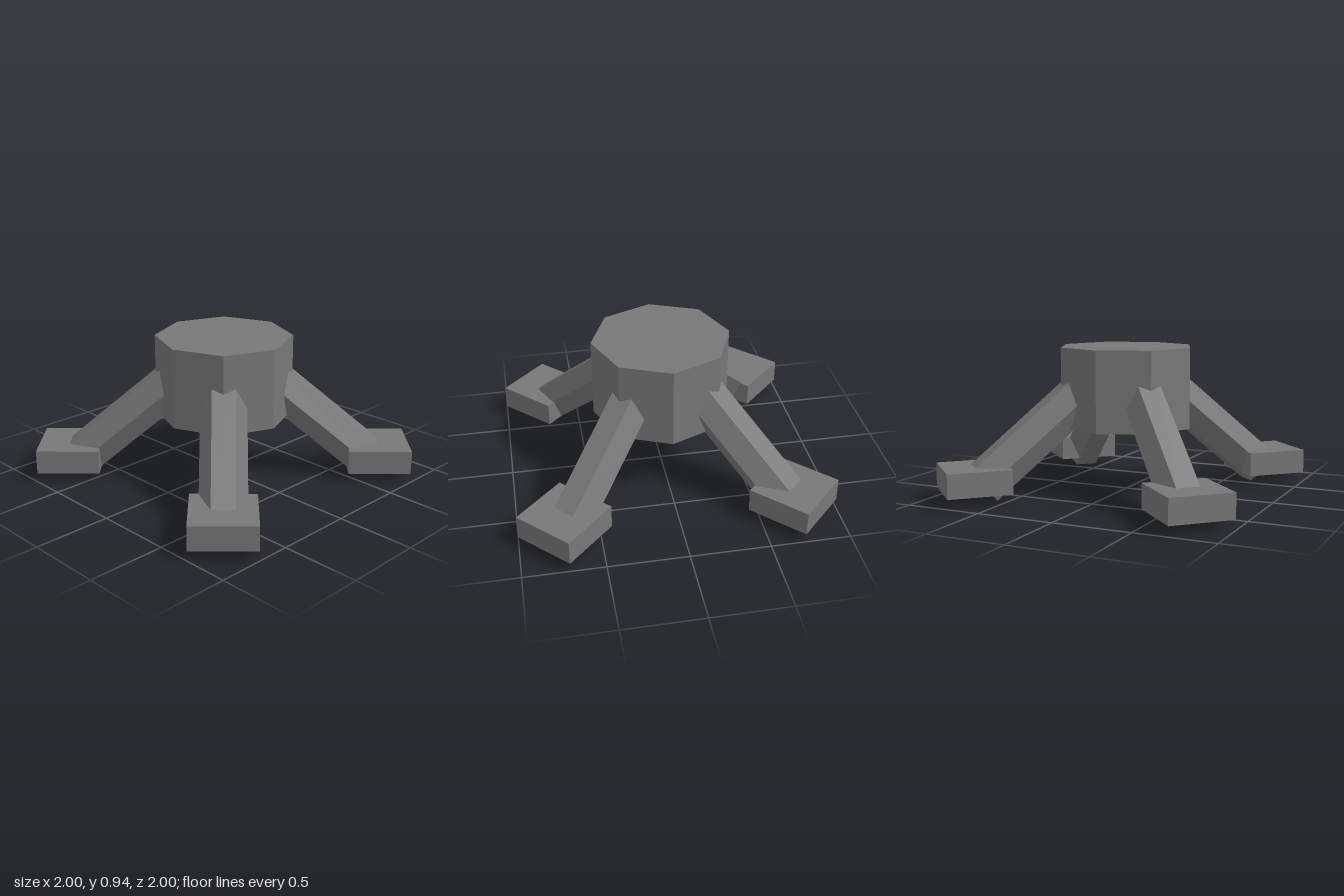
import * as THREE from 'three';

export function createModel() {
  const model = new THREE.Group();
  model.name = 'fourLeggedStand';
  const grey = new THREE.MeshStandardMaterial({ color: 0x787878, flatShading: true });
  grey.name = 'grey';

  const add = (parent, name, geometry, x, y) => {
    const mesh = new THREE.Mesh(geometry, grey);
    mesh.name = name;
    mesh.position.set(x, y, 0);
    parent.add(mesh);
    return mesh;
  };

  // Octagonal body
  add(model, 'body', new THREE.CylinderGeometry(0.442, 0.442, 0.515, 8), 0, 0.682);

  // Hexagonal strut leaning outwards, its lower end poking through the foot
  const tilt = THREE.MathUtils.degToRad(50);
  const length = 0.86;
  const endX = 0.961, endY = 0.096;
  const strutGeometry = new THREE.CylinderGeometry(0.145, 0.145, length, 6);
  const footGeometry = new THREE.BoxGeometry(0.403, 0.155, 0.403);

  // Four legs on the diagonals
  const names = ['backLeftLeg', 'backRightLeg', 'frontRightLeg', 'frontLeftLeg'];
  names.forEach((name, i) => {
    const leg = new THREE.Group();
    leg.name = name;
    leg.rotation.y = Math.PI / 4 + i * Math.PI / 2;
    const strut = add(leg, 'strut', strutGeometry,
      endX - Math.sin(tilt) * length / 2, endY + Math.cos(tilt) * length / 2);
    strut.rotation.z = tilt;
    add(leg, 'foot', footGeometry, 1.011, 0.1375);
    model.add(leg);
  });

  return model;
}
